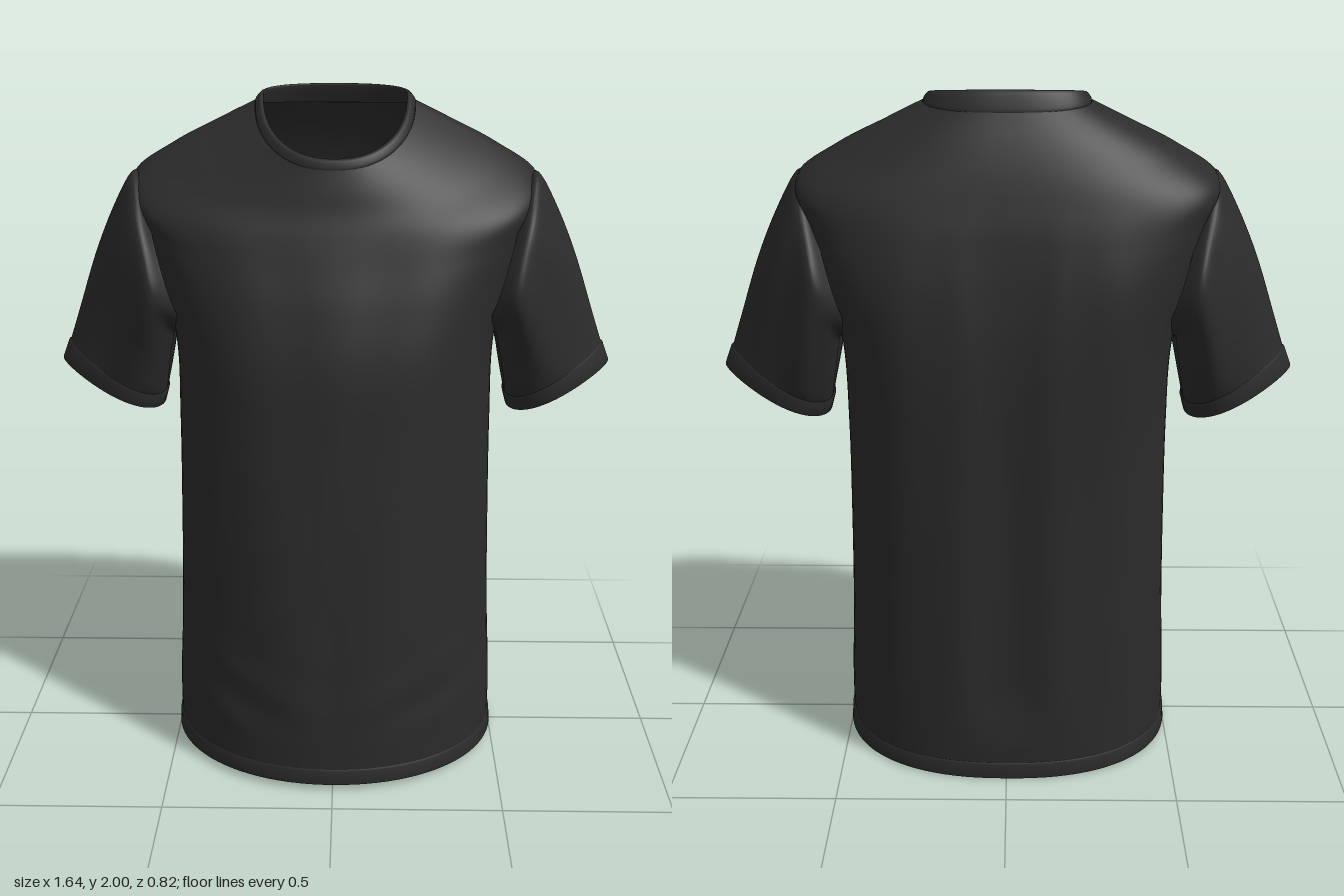
import * as THREE from 'three';

const SEG = 96;

// Smooth (Catmull-Rom) resampling of a table of section parameters
function resample(keys, steps) {
  const rows = [];
  const n = keys.length - 1;
  for (let i = 0; i <= n * steps; i++) {
    const k = Math.min(Math.floor(i / steps), n - 1);
    const t = i / steps - k;
    const p = [keys[Math.max(k - 1, 0)], keys[k], keys[k + 1], keys[Math.min(k + 2, n)]];
    rows.push(keys[0].map((_, c) => {
      const [a, b, d, e] = p.map((r) => r[c]);
      return b + 0.5 * t * (d - a + t * (2 * a - 5 * b + 4 * d - e + t * (3 * (b - d) + e - a)));
    }));
  }
  return rows;
}

// Skin closed rings of points, leaving both ends open
function loft(name, rows, ring, material, flip = false) {
  const pos = [];
  const index = [];
  rows.forEach((row, r) => {
    for (let i = 0; i < SEG; i++) {
      pos.push(...ring(row, (i / SEG) * Math.PI * 2, r / (rows.length - 1)));
      if (r === rows.length - 1) continue;
      const a = r * SEG + i;
      const b = r * SEG + ((i + 1) % SEG);
      const c = b + SEG;
      const d = a + SEG;
      if (flip) index.push(a, b, d, b, c, d);
      else index.push(a, d, b, b, d, c);
    }
  });
  const geo = new THREE.BufferGeometry();
  geo.setAttribute('position', new THREE.Float32BufferAttribute(pos, 3));
  geo.setIndex(index);
  geo.computeVertexNormals();
  const mesh = new THREE.Mesh(geo, material);
  mesh.name = name;
  return mesh;
}

// Body section: [halfWidth, sideY, sideZ, frontZ, frontY, backZ, backY, frontPower, backPower]
function bodyRing([w, ys, zs, zf, yf, zb, yb, nf, nb], a) {
  const c = Math.cos(a);
  const s = Math.sin(a);
  const front = s > 0;
  const e = 2 / (front ? nf : nb);
  const depth = Math.abs(s) ** e;
  return [
    w * Math.sign(c) * Math.abs(c) ** e,
    ys + ((front ? yf : yb) - ys) * depth,
    zs + ((front ? zf : zb) - zs) * depth,
  ];
}

// Body section with soft cloth folds
function foldedRing(row, a) {
  const [x, y, z] = bodyRing(row, a);
  const s = Math.sin(a);
  const fade = THREE.MathUtils.smoothstep(y, 0.08, 0.3) * (1 - THREE.MathUtils.smoothstep(y, 1.45, 1.75));
  let dz = 0;
  if (s < 0) {
    dz += 0.022 * Math.exp(-((x / 0.09) ** 2)) * fade;
    dz += 0.004 * Math.sin(Math.abs(x) * 30 + y * 1.5) * fade * s * s;
  } else {
    const low = Math.exp(-(((y - 0.25) / 0.16) ** 2));
    dz += 0.008 * Math.sin(34 * (y - 0.45 * Math.abs(x))) * low * fade * Math.min(1, Math.abs(x) * 3) * s;
    dz += 0.004 * Math.sin(Math.abs(x) * 22 - y * 3) * fade * s * s;
  }
  return [x, y, z + dz];
}

// Egg-shaped sleeve section, narrow on the outer side: [innerX, innerY, outerX, outerY, backZ, frontZ]
function sleeveRing(side) {
  return ([xi, yi, xo, yo, zb, zf], a, t) => {
    const c = Math.cos(a);
    const s = Math.sin(a);
    const fold = 1 + 0.022 * Math.sin(a * 7 + t * 3) * Math.sin(Math.PI * t) * (0.4 + 0.6 * Math.abs(s));
    const k = c * fold * 0.5;
    return [
      side * ((xi + xo) / 2 + (xo - xi) * k),
      (yi + yo) / 2 + (yo - yi) * k,
      (zb + zf) / 2 + (zf - zb) * 0.475 * s * fold * (1 - 0.35 * c),
    ];
  };
}

export function createModel() {
  const group = new THREE.Group();
  const cloth = new THREE.MeshStandardMaterial({ color: 0x2b2b2b, side: THREE.DoubleSide });
  cloth.name = 'charcoal cloth';

  // Body from hem stitching to collar seam
  const body = [
    [0.495, 0.055, -0.01, 0.402, 0.065, -0.392, 0.05, 2.05, 2.3],
    [0.493, 0.2, -0.01, 0.4, 0.2, -0.4, 0.2, 2.05, 2.3],
    [0.48, 0.45, -0.02, 0.388, 0.45, -0.405, 0.45, 2.1, 2.4],
    [0.471, 0.75, -0.03, 0.37, 0.75, -0.407, 0.75, 2.2, 2.5],
    [0.465, 1.05, -0.04, 0.345, 1.05, -0.408, 1.05, 2.3, 2.7],
    [0.467, 1.3, -0.06, 0.323, 1.27, -0.405, 1.3, 2.5, 3.1],
    [0.505, 1.5, -0.07, 0.282, 1.43, -0.387, 1.48, 2.6, 3.4],
    [0.548, 1.66, -0.08, 0.238, 1.55, -0.355, 1.62, 2.7, 3.4],
    [0.578, 1.765, -0.085, 0.208, 1.63, -0.325, 1.715, 2.6, 3.1],
    [0.46, 1.85, -0.09, 0.185, 1.69, -0.295, 1.805, 2.3, 2.6],
    [0.335, 1.913, -0.1, 0.168, 1.75, -0.262, 1.88, 2.2, 2.5],
    [0.228, 1.965, -0.1, 0.15, 1.805, -0.224, 1.945, 2.2, 2.5],
  ];
  group.add(loft('body', resample(body, 8), foldedRing, cloth));

  // Bottom hem band with a turned-in edge
  const hem = [
    [0.49, 0.06, -0.01, 0.398, 0.07, -0.388, 0.055, 2.05, 2.3],
    [0.5, 0.053, -0.01, 0.407, 0.063, -0.397, 0.048, 2.05, 2.3],
    [0.503, 0.012, -0.01, 0.411, 0.02, -0.399, 0.002, 2.05, 2.3],
    [0.497, 0.01, -0.01, 0.404, 0.018, -0.392, 0, 2.05, 2.3],
    [0.488, 0.06, -0.01, 0.396, 0.07, -0.386, 0.055, 2.05, 2.3],
  ];
  group.add(loft('bottomHem', hem, bodyRing, cloth, true));

  // Collar band rolled over to the inside
  const collar = [
    [0.227, 1.963, -0.1, 0.149, 1.803, -0.223, 1.943, 2.2, 2.5],
    [0.226, 1.97, -0.1, 0.15, 1.81, -0.222, 1.953, 2.2, 2.5],
    [0.216, 1.983, -0.1, 0.144, 1.828, -0.21, 1.985, 2.2, 2.5],
    [0.209, 1.986, -0.1, 0.134, 1.833, -0.2, 1.999, 2.2, 2.5],
    [0.203, 1.982, -0.1, 0.123, 1.828, -0.192, 1.995, 2.2, 2.5],
    [0.213, 1.955, -0.1, 0.136, 1.79, -0.208, 1.945, 2.2, 2.5],
  ];
  group.add(loft('collar', resample(collar, 3), bodyRing, cloth));

  // Sleeves and cuffs
  const sleeve = [
    [0.42, 1.31, 0.55, 1.75, -0.29, 0.15],
    [0.464, 1.31, 0.583, 1.767, -0.318, 0.178],
    [0.48, 1.26, 0.64, 1.67, -0.308, 0.165],
    [0.495, 1.185, 0.702, 1.53, -0.28, 0.13],
    [0.508, 1.125, 0.76, 1.365, -0.248, 0.1],
    [0.512, 1.108, 0.795, 1.265, -0.23, 0.085],
  ];
  const cuff = [
    [0.515, 1.112, 0.79, 1.268, -0.227, 0.082],
    [0.507, 1.108, 0.8, 1.264, -0.234, 0.089],
    [0.518, 1.068, 0.821, 1.21, -0.227, 0.082],
    [0.527, 1.07, 0.812, 1.205, -0.219, 0.074],
    [0.52, 1.115, 0.786, 1.266, -0.223, 0.078],
  ];
  for (const side of [1, -1]) {
    const label = side > 0 ? 'left' : 'right';
    group.add(loft(label + 'Sleeve', resample(sleeve, 8), sleeveRing(side), cloth, side > 0));
    group.add(loft(label + 'Cuff', cuff, (row, a) => sleeveRing(side)(row, a, 0), cloth, side > 0));
  }
  return group;
}
